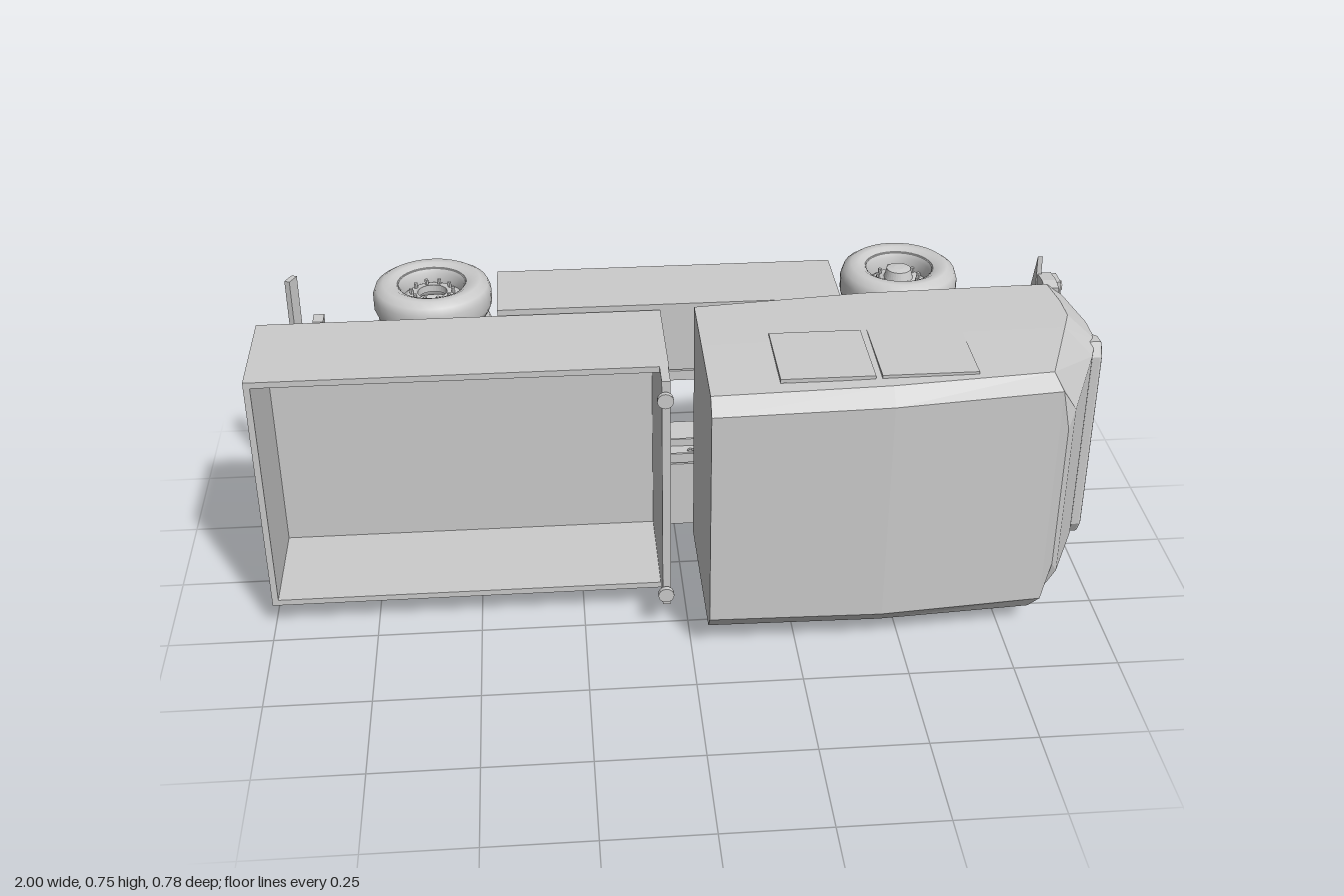
import * as THREE from 'three';

const V = (x, y, z) => new THREE.Vector3(x, y, z);
const mat = new THREE.MeshStandardMaterial({ color: 0xcccccc, flatShading: true, side: THREE.DoubleSide });
const smooth = new THREE.MeshStandardMaterial({ color: 0xcccccc, side: THREE.DoubleSide });

// The truck lies on its side: x is forward, z is towards its roof, y is its width.
export function createModel() {
  const root = new THREE.Group();
  root.name = 'truck';
  const truck = new THREE.Group();
  truck.name = 'body';
  truck.position.y = 0.375;
  root.add(truck);

  const add = (name, geo, parent = truck, m = mat) => {
    const mesh = new THREE.Mesh(geo, m);
    mesh.name = name;
    parent.add(mesh);
    return mesh;
  };
  // Box from its limits on each axis
  const box = (name, x0, x1, y0, y1, z0, z1) => {
    const g = new THREE.BoxGeometry(x1 - x0, Math.abs(y1 - y0), z1 - z0);
    return add(name, g.translate((x0 + x1) / 2, (y0 + y1) / 2, (z0 + z1) / 2));
  };
  const beam = (name, a, b, r, sides = 6) => {
    const d = b.clone().sub(a);
    const m = add(name, new THREE.CylinderGeometry(r, r, d.length(), sides));
    m.position.copy(a).addScaledVector(d, 0.5);
    m.quaternion.setFromUnitVectors(V(0, 1, 0), d.normalize());
    return m;
  };
  // Extrusion of a (y, z) outline along x
  const plate = (name, pts, x, depth, bevel = 0) => {
    const g = new THREE.ExtrudeGeometry(new THREE.Shape(pts.map(p => new THREE.Vector2(...p))), {
      depth, bevelEnabled: bevel > 0, bevelSize: bevel, bevelThickness: bevel, bevelSegments: 2,
    });
    g.applyMatrix4(new THREE.Matrix4().makeBasis(V(0, 1, 0), V(0, 0, 1), V(1, 0, 0)));
    return add(name, g.translate(x, 0, 0));
  };
  // Adds the negative-y half to a half outline
  const mirrorPts = half => [...half, ...half.map(([y, z]) => [-y, z]).reverse()];

  // Cab: loops stacked towards the roof
  // [front x, half width, chamfer along x, chamfer along y, z rear, z middle, z front]
  const levels = [
    [0.945, 0.334, 0.04, 0.03, -0.058, -0.085, -0.09],
    [0.985, 0.333, 0.07, 0.06, 0.0, 0.0, 0.0],
    [0.99, 0.332, 0.075, 0.07, 0.07, 0.07, 0.07],
    [0.968, 0.331, 0.075, 0.08, 0.13, 0.13, 0.13],
    [0.88, 0.324, 0.06, 0.1, 0.355, 0.353, 0.325],
    [0.86, 0.286, 0.02, 0.1, 0.386, 0.386, 0.35],
  ];
  const pos = [], idx = [];
  levels.forEach(([f, w, c, d, zr, zm, zf]) => {
    const half = [[0.04, w - 0.01, zr], [0.45, w - 0.003, zm], [f - c, w, zf], [f, w - d, zf]];
    half.forEach(([x, y, z]) => pos.push(x, -y, z));
    half.reverse().forEach(([x, y, z]) => pos.push(x, y, z));
  });
  const quad = (a, b, c, d) => idx.push(a, b, c, a, c, d);
  for (let i = 0; i < levels.length - 1; i++)
    for (let j = 0; j < 8; j++) {
      const k = (j + 1) % 8;
      quad(i * 8 + j, i * 8 + k, i * 8 + 8 + k, i * 8 + 8 + j);
    }
  const top = (levels.length - 1) * 8;
  for (let j = 0; j < 3; j++) {
    quad(top + j, top + j + 1, top + 6 - j, top + 7 - j);
    quad(7 - j, 6 - j, j + 1, j);
  }
  const cab = new THREE.BufferGeometry();
  cab.setAttribute('position', new THREE.Float32BufferAttribute(pos, 3));
  cab.setIndex(idx);
  cab.computeVertexNormals();
  add('cab', cab);

  // Raised front panel with a round badge ring
  plate('frontPanel', mirrorPts([[0.2, 0.0], [0.245, 0.025], [0.26, 0.06], [0.262, 0.09], [0.235, 0.105]]), 0.95, 0.042, 0.008);
  add('frontRing', new THREE.TorusGeometry(0.034, 0.002, 6, 28).rotateY(Math.PI / 2).translate(0.999, 0, 0.035));

  // Door windows
  for (const s of [-1, 1])
    for (const [x0, x1] of [[0.2, 0.415], [0.43, 0.65]])
      box('sideWindow', x0, x1, s * 0.32, s * 0.3295, 0.1, 0.32);

  // Open load bed with headboard and beacons
  box('bedFloor', -1, -0.04, -0.308, 0.308, -0.08, -0.068);
  for (const s of [-1, 1]) box('bedSide', -1, -0.04, s * 0.293, s * 0.308, -0.08, 0.2);
  box('bedTail', -1, -0.985, -0.308, 0.308, -0.08, 0.2);
  box('headboard', -0.062, -0.042, -0.308, 0.308, -0.08, 0.27);
  for (const s of [-1, 1]) {
    beam('beaconStem', V(-0.055, s * 0.268, 0.265), V(-0.055, s * 0.268, 0.282), 0.008, 10);
    beam('beacon', V(-0.055, s * 0.268, 0.28), V(-0.055, s * 0.268, 0.292), 0.019, 16);
  }

  // Chassis: pierced C-section rails, brackets and side lockers
  for (const s of [-1, 1]) {
    const web = new THREE.Shape([[-0.86, -0.165], [0.72, -0.165], [0.78, -0.195], [0.87, -0.195], [0.93, -0.16],
      [0.93, -0.1], [0.4, -0.09], [-0.86, -0.09]].map(p => new THREE.Vector2(...p)));
    for (let i = 0; i < 22; i++)
      web.holes.push(new THREE.Path().absarc(-0.8 + i * 0.07, -0.125 + (i % 3 - 1) * 0.014, 0.009, 0, Math.PI * 2, true));
    const g = new THREE.ExtrudeGeometry(web, { depth: 0.006, bevelEnabled: false, curveSegments: 5 });
    add('railWeb', g.rotateX(Math.PI / 2).translate(0, s * 0.13 + 0.003, 0));
    box('railLowerFlange', -0.86, 0.72, s * 0.107, s * 0.132, -0.167, -0.161);
    box('railUpperFlange', -0.86, 0.9, s * 0.107, s * 0.132, -0.096, -0.09);
    box('sideLocker', -0.43, 0.4, s * 0.137, s * 0.318, -0.3, -0.09);
    box('springBracket', 0.68, 0.76, s * 0.132, s * 0.155, -0.19, -0.12);
    box('tailBracket', -0.86, -0.8, s * 0.13, s * 0.155, -0.165, -0.1);
    box('tailLamp', -0.87, -0.845, s * 0.19, s * 0.3, -0.14, -0.1);
    box('stepPlate', 0.7, 0.92, s * 0.24, s * 0.325, -0.1, -0.088);
  }
  for (const x of [-0.84, -0.72, -0.35, 0.13]) box('crossMember', x - 0.012, x + 0.012, -0.13, 0.13, -0.15, -0.1);
  const arch = new THREE.CatmullRomCurve3([V(0.68, -0.13, -0.12), V(0.68, -0.1, -0.17), V(0.68, 0, -0.18), V(0.68, 0.1, -0.17), V(0.68, 0.13, -0.12)]);
  add('engineCradle', new THREE.TubeGeometry(arch, 20, 0.014, 6));

  // Rear underrun bar on sloping arms
  const bar = add('underrunBar', new THREE.BoxGeometry(0.014, 0.66, 0.035));
  bar.position.set(-0.935, 0, -0.278);
  bar.rotation.y = -0.45;
  for (const s of [-1, 1]) {
    beam('underrunArm', V(-0.93, s * 0.1, -0.275), V(-0.86, s * 0.118, -0.15), 0.008);
    beam('underrunStay', V(-0.93, s * 0.012, -0.272), V(-0.87, s * 0.115, -0.2), 0.004);
    beam('underrunHinge', V(-0.88, s * 0.09, -0.2), V(-0.88, s * 0.14, -0.2), 0.007);
  }

  // Bumper with pointed side fins
  plate('bumper', mirrorPts([[0.27, -0.2], [0.328, -0.165], [0.332, -0.115], [0.325, -0.085]]), 0.9, 0.035);
  for (const s of [-1, 1])
    plate('bumperFin', [[s * 0.27, -0.2], [s * 0.375, -0.16], [s * 0.28, -0.152]], 0.897, 0.012);
  plate('bumperLip', mirrorPts([[0.24, -0.197], [0.27, -0.16], [0.26, -0.15]]), 0.935, 0.02);
  plate('bumperUpper', mirrorPts([[0.2, -0.14], [0.2, -0.088]]), 0.935, 0.02);
  for (const [z0, z1] of [[-0.122, -0.092], [-0.186, -0.16]]) {
    for (let i = 0; i < 15; i++) {
      const y = -0.095 + i * 0.0136;
      const slat = add('grilleSlat', new THREE.BoxGeometry(0.01, 0.005, z1 - z0));
      slat.position.set(0.959, y, (z0 + z1) / 2);
      slat.rotation.x = 0.35;
    }
    for (const z of [z0, z1]) box('grilleEdge', 0.952, 0.966, -0.1, 0.1, z - 0.002, z + 0.002);
  }
  box('bumperRail', 0.952, 0.968, -0.2, 0.2, -0.15, -0.144);
  for (const s of [-1, 1]) {
    plate('lampPod', [[s * 0.325, -0.115], [s * 0.325, -0.165], [s * 0.235, -0.168], [s * 0.21, -0.15], [s * 0.23, -0.115]], 0.932, 0.016);
    for (const y of [0.245, 0.275, 0.303])
      beam('headlamp', V(0.94, s * y, -0.142), V(0.957, s * y, -0.142), 0.013, 12);
    for (const z of [-0.105, -0.172]) box('towBracket', 0.945, 0.975, s * 0.11, s * 0.135, z - 0.008, z + 0.008);
  }

  // Wheels: lathed tyre and dished rim, rear hubs open in the middle
  const lathe = pts => new THREE.LatheGeometry(pts.map(p => new THREE.Vector2(...p)), 32);
  const wheel = (name, x, y, width, side, open) => {
    const h = width / 2, w = new THREE.Group();
    w.name = name;
    w.position.set(x, side * y, -0.245);
    if (side < 0) w.rotation.x = Math.PI;
    truck.add(w);
    add('tyre', lathe([[0.082, -h * 0.8], [0.1, -h], [0.12, -h], [0.138, -h * 0.75], [0.145, -h * 0.35],
      [0.145, h * 0.35], [0.138, h * 0.75], [0.12, h], [0.1, h], [0.082, h * 0.8]]), w, smooth);
    add('rimBarrel', lathe([[0.085, -h * 0.85], [0.077, -h * 0.6], [0.072, 0], [0.077, h * 0.6], [0.085, h * 0.85]]), w, smooth);
    const disc = [[0.073, 0], [0.06, h * 0.2], [0.042, h * 0.25], [0.036, h * 0.3]];
    if (open) disc.push([0.036, -h * 0.1]);
    else disc.push([0.03, h * 0.75], [0.012, h * 0.8], [0, h * 0.8]);
    add('rimDisc', lathe(disc), w);
    for (let i = 0; i < 10; i++) {
      const a = i * Math.PI / 5;
      add('wheelNut', new THREE.CylinderGeometry(0.005, 0.005, 0.016, 6)
        .translate(Math.cos(a) * 0.051, h * 0.25 + 0.004, Math.sin(a) * 0.051), w);
    }
  };
  for (const s of [-1, 1]) {
    wheel('frontWheel', 0.57, 0.276, 0.104, s, false);
    wheel('rearOuterWheel', -0.59, 0.284, 0.09, s, true);
    wheel('rearInnerWheel', -0.59, 0.188, 0.09, s, true);
  }
  return root;
}
